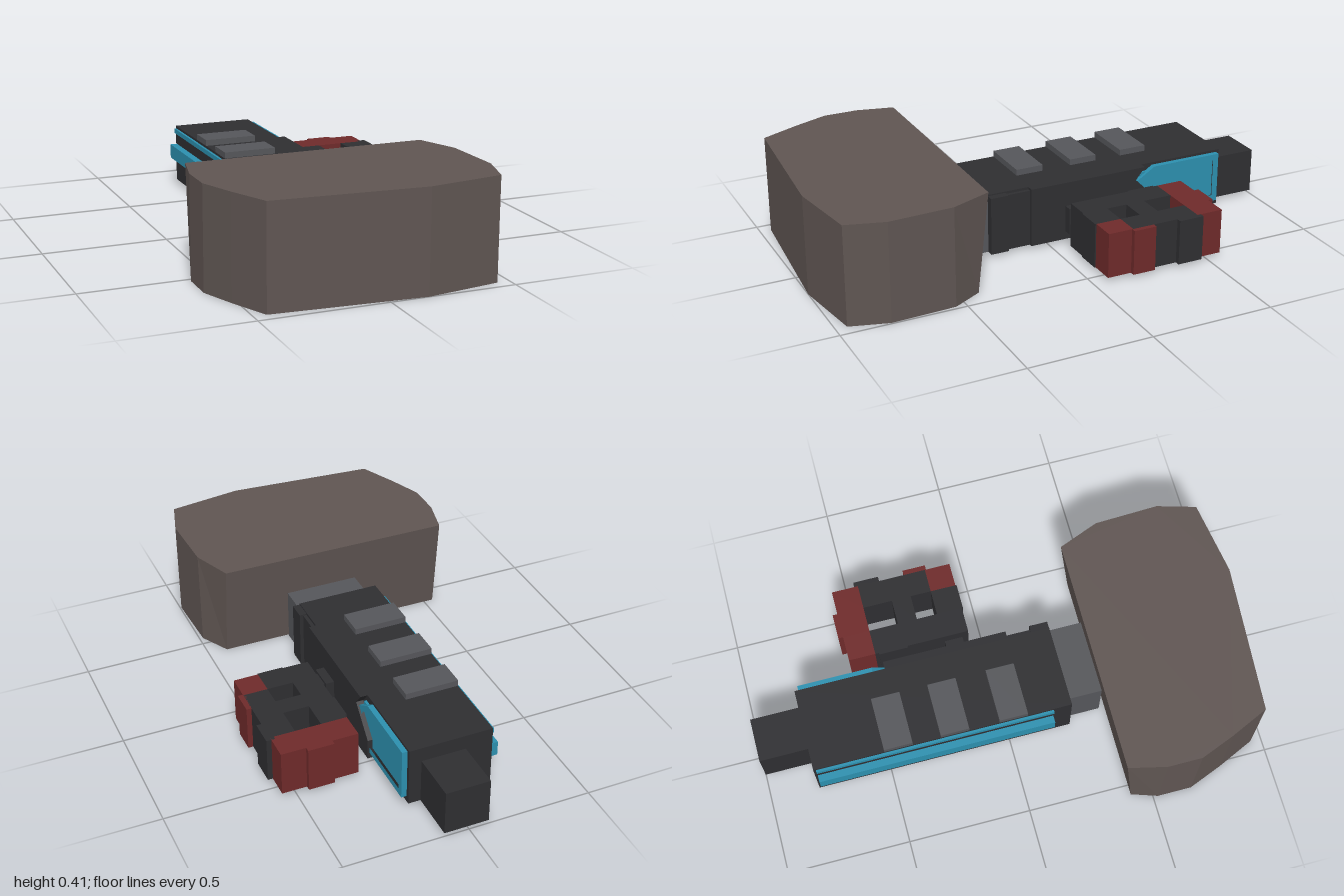
import * as THREE from 'three';

const mat = (color) => new THREE.MeshStandardMaterial({ color, flatShading: true });
const HULL = mat(0x5f5552), DARK = mat(0x2e2e31), GREY = mat(0x55565a);
const CYAN = mat(0x2c8fae), RED = mat(0x6e2a2a);

// Closed outline from [x, y] points
const outline = (pts, Type = THREE.Shape) => new Type(pts.map(([x, y]) => new THREE.Vector2(x, y)));

// Box given by its limits on each axis
function block(parent, name, [x0, x1], [y0, y1], [z0, z1], material = DARK) {
  const mesh = new THREE.Mesh(new THREE.BoxGeometry(x1 - x0, y1 - y0, z1 - z0), material);
  mesh.position.set((x0 + x1) / 2, (y0 + y1) / 2, (z0 + z1) / 2);
  mesh.name = name;
  parent.add(mesh);
  return mesh;
}

// Side plate drawn in [z, y], extruded along x
function sidePlate(parent, name, pts, hole, x0, x1, material) {
  const toShape = (p) => p.map(([z, y]) => [-z, y]);
  const shape = outline(toShape(pts));
  if (hole) shape.holes.push(outline(toShape(hole), THREE.Path));
  const geo = new THREE.ExtrudeGeometry(shape, { depth: x1 - x0, bevelEnabled: false });
  geo.rotateY(Math.PI / 2).translate(x0, 0, 0);
  const mesh = new THREE.Mesh(geo, material);
  mesh.name = name;
  parent.add(mesh);
}

// Wide faceted bow with a back face that leans outward at the top
function makeBow() {
  const plan = [[-0.54, 0.37], [0.42, 0.375], [0.485, 0.54], [0.495, 0.8], [0.45, 0.955],
    [0.15, 1], [-0.45, 0.955], [-0.52, 0.8], [-0.575, 0.66], [-0.575, 0.52]];
  const geo = new THREE.ExtrudeGeometry(outline(plan.map(([x, z]) => [x, -z])), { depth: 0.405, bevelEnabled: false });
  geo.rotateX(-Math.PI / 2);
  const p = geo.attributes.position;
  for (let i = 0; i < p.count; i++) {
    if (p.getZ(i) < 0.4 && p.getY(i) < 0.1) p.setZ(i, p.getZ(i) + 0.045);
  }
  geo.computeVertexNormals();
  const bow = new THREE.Mesh(geo, HULL);
  bow.name = 'bow';
  return bow;
}

// Long central body with neck, tail, roof plates and side panels
function makeFuselage() {
  const g = new THREE.Group();
  g.name = 'fuselage';
  block(g, 'mainBody', [-0.19, 0.15], [0.015, 0.26], [-0.8, 0.255]);
  block(g, 'neck', [-0.155, 0.15], [0.015, 0.23], [0.25, 0.39], GREY);
  block(g, 'tail', [-0.08, 0.1], [0.015, 0.2], [-1, -0.79]);
  block(g, 'frontCollar', [0.14, 0.18], [0.015, 0.255], [0.18, 0.255]);
  block(g, 'sideStep', [0.14, 0.165], [0.015, 0.25], [0.08, 0.18]);

  // Roof plates
  for (const z of [-0.455, -0.225, 0.015]) {
    block(g, 'roofPlate', [-0.19, 0.03], [0.25, 0.285], [z - 0.058, z + 0.058], GREY);
  }

  // Left side: slanted armour and framed window
  sidePlate(g, 'leftArmour', [[0.08, 0.015], [0.08, 0.26], [-0.43, 0.26], [-0.39, 0.21], [-0.5, 0.1], [-0.5, 0.015]],
    null, 0.145, 0.18, DARK);
  sidePlate(g, 'leftWindowFrame', [[-0.4, 0.04], [-0.4, 0.2], [-0.48, 0.25], [-0.785, 0.25], [-0.785, 0.04]],
    [[-0.43, 0.065], [-0.43, 0.19], [-0.49, 0.225], [-0.76, 0.225], [-0.76, 0.065]], 0.145, 0.172, CYAN);
  block(g, 'leftWindow', [0.145, 0.16], [0.06, 0.23], [-0.765, -0.42], CYAN);

  // Right side: long light strip and upper trim
  block(g, 'rightStrip', [-0.22, -0.18], [0.12, 0.18], [-0.79, 0.18], CYAN);
  block(g, 'rightTrim', [-0.2, -0.18], [0.23, 0.25], [-0.79, 0.18], CYAN);
  return g;
}

// Ring-shaped pod on a short arm
function makePod() {
  const g = new THREE.Group();
  g.name = 'sidePod';
  const y = [0.015, 0.2];
  for (const x of [[0.245, 0.35], [0.455, 0.555]]) {
    block(g, 'podSide', x, y, [-0.45, -0.165]);
    block(g, 'podRearCorner', x, y, [-0.56, -0.45], RED);
    block(g, 'podFrontCorner', x, y, [-0.165, -0.06], x[0] > 0.4 ? RED : DARK);
  }
  block(g, 'podRear', [0.35, 0.455], y, [-0.58, -0.45], RED);
  block(g, 'podFront', [0.35, 0.455], y, [-0.165, -0.055]);
  block(g, 'podBridge', [0.35, 0.455], y, [-0.33, -0.25]);
  block(g, 'podOuterRib', [0.54, 0.575], y, [-0.465, -0.36]);
  block(g, 'podOuterRib', [0.54, 0.575], y, [-0.255, -0.16], RED);
  block(g, 'podInnerRib', [0.238, 0.26], y, [-0.435, -0.315]);
  block(g, 'arm', [0.14, 0.25], [0.06, 0.15], [-0.16, -0.085]);
  block(g, 'armCollar', [0.17, 0.215], [0.05, 0.16], [-0.175, -0.07]);
  return g;
}

export function createModel() {
  const model = new THREE.Group();
  model.name = 'spacecraft';
  model.add(makeBow(), makeFuselage(), makePod());
  return model;
}
